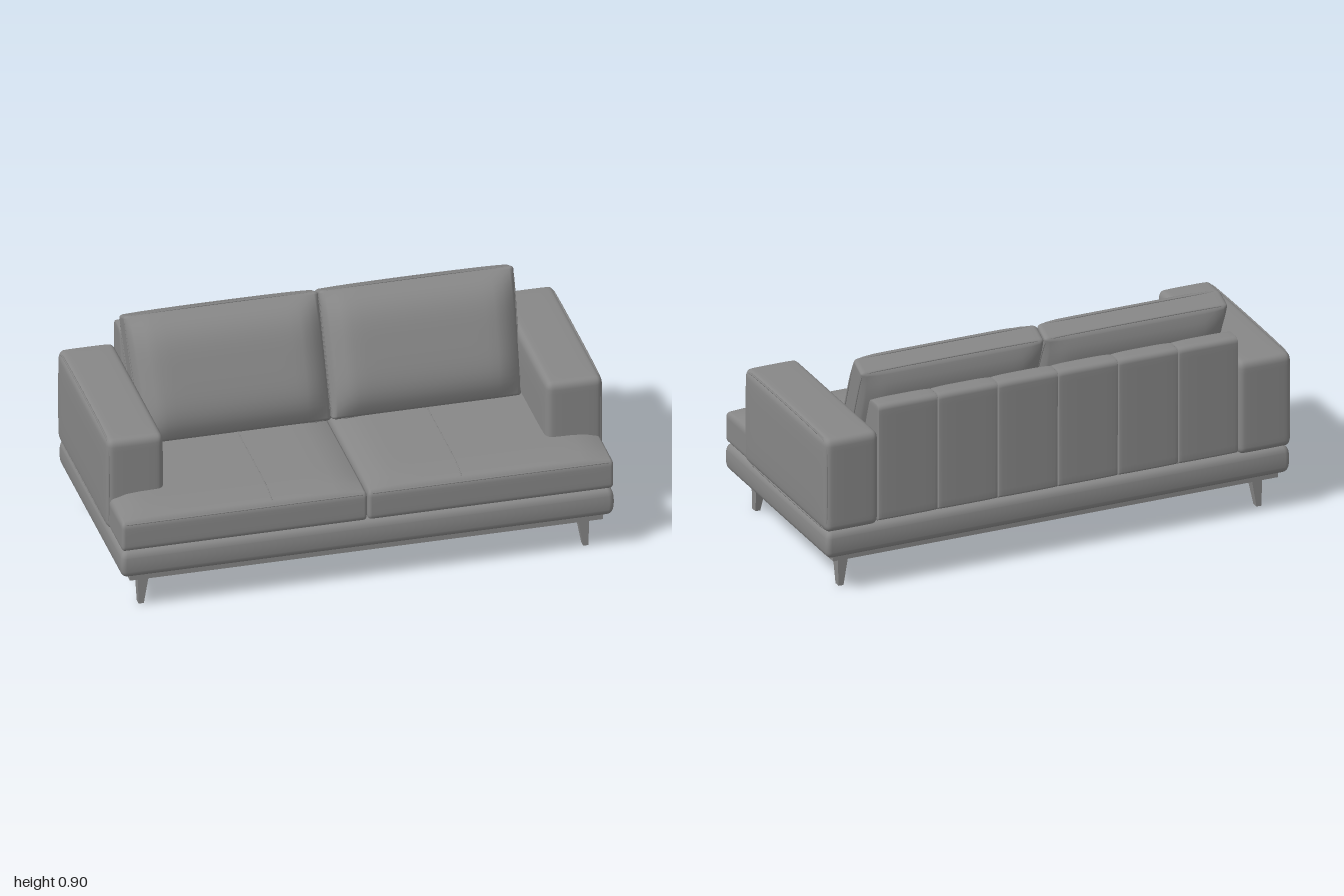
import * as THREE from 'three';
import { mergeVertices } from 'three/addons/utils/BufferGeometryUtils.js';

const material = new THREE.MeshStandardMaterial({ color: 0x878787 });

function addMesh(parent, name, geometry, x = 0, y = 0, z = 0) {
  const mesh = new THREE.Mesh(geometry, material);
  mesh.name = name;
  mesh.position.set(x, y, z);
  parent.add(mesh);
  return mesh;
}

// Upholstered block: elliptical edge radii, dense faces and a deform(p, u, v, w),
// where u, v, w run from -1 to 1 across the block.
function softBox(size, radii, deform) {
  const n = 24, k = 3;
  const geo = new THREE.BoxGeometry(2, 2, 2, n, n, n);
  geo.deleteAttribute('uv');
  geo.deleteAttribute('normal');
  const pos = geo.attributes.position;
  const place = (t, half, r) => {
    const i = Math.round((t + 1) * n / 2);
    if (i <= k) return -half + r * i / k;
    if (i >= n - k) return half - r * (n - i) / k;
    return (half - r) * (2 * (i - k) / (n - 2 * k) - 1);
  };
  for (let i = 0; i < pos.count; i++) {
    const inner = [], offset = [];
    for (let a = 0; a < 3; a++) {
      const half = size[a] / 2, r = radii[a];
      const c = place(pos.getComponent(i, a), half, r);
      inner[a] = THREE.MathUtils.clamp(c, r - half, half - r);
      offset[a] = (c - inner[a]) / r;
    }
    const len = Math.hypot(...offset);
    const p = new THREE.Vector3(...inner.map((c, a) => c + offset[a] / len * radii[a]));
    deform(p, 2 * p.x / size[0], 2 * p.y / size[1], 2 * p.z / size[2]);
    pos.setXYZ(i, p.x, p.y, p.z);
  }
  const merged = mergeVertices(geo, 1e-5);
  merged.computeVertexNormals();
  return merged;
}

// Closed piping around a rounded rectangle in the XY plane
function piping(w, h, r, thickness) {
  const points = [];
  for (let q = 0; q < 4; q++) {
    const cx = (q === 0 || q === 3 ? 1 : -1) * (w / 2 - r);
    const cy = (q < 2 ? 1 : -1) * (h / 2 - r);
    for (let j = 0; j <= 3; j++) {
      const a = (q + j / 3) * Math.PI / 2;
      points.push(new THREE.Vector3(cx + r * Math.cos(a), cy + r * Math.sin(a), 0));
    }
  }
  const curve = new THREE.CatmullRomCurve3(points, true, 'centripetal');
  return new THREE.TubeGeometry(curve, 80, thickness, 6, true);
}

// Padding profiles: 1 in the middle, 0 at the edges
const dome = (a, power = 4) => Math.max(0, 1 - Math.pow(Math.abs(a), power));
const flatDome = (a) => dome(a, 12);

export function createModel() {
  const sofa = new THREE.Group();
  sofa.name = 'sofa';

  // Plinth and padded base
  addMesh(sofa, 'plinth', new THREE.BoxGeometry(1.9, 0.03, 0.9), 0, 0.149, 0.005);
  addMesh(sofa, 'base', softBox([1.966, 0.117, 0.943], [0.022, 0.025, 0.022], (p, u, v, w) => {
    p.x += 0.008 * u * dome(v, 2);
    p.z += 0.008 * w * dome(v, 2);
  }), 0, 0.2145, 0.002);

  // Tapered legs with upright outer faces
  for (const sx of [-1, 1]) for (const sz of [-1, 1]) {
    const leg = new THREE.BoxGeometry(0.048, 0.137, 0.05);
    const pos = leg.attributes.position;
    for (let i = 0; i < pos.count; i++) {
      if (pos.getY(i) > 0) continue;
      pos.setX(i, sx * (pos.getX(i) * sx < 0 ? -0.001 : 0.02));
      if (pos.getZ(i) * sz < 0) pos.setZ(i, sz * -0.004);
    }
    leg.computeVertexNormals();
    addMesh(sofa, 'leg', leg, sx * 0.883, 0.0685, sz > 0 ? 0.384 : -0.368);
  }

  // Arms with a piped outer panel
  for (const s of [-1, 1]) {
    addMesh(sofa, 'arm', softBox([0.224, 0.396, 0.764], [0.022, 0.03, 0.028], (p, u, v, w) => {
      p.x += 0.006 * u * dome(v) * flatDome(w);
      p.z += 0.004 * w * dome(u);
      if (v > 0) p.y += 0.003 * v * dome(u) * flatDome(w);
    }), s * 0.882, 0.469, -0.095);
    const trim = addMesh(sofa, 'armPiping', piping(0.742, 0.378, 0.03, 0.004), s * 0.987, 0.469, -0.095);
    trim.rotation.y = Math.PI / 2;
  }

  // Backrest: six channelled panels, thicker towards the bottom
  const panelWidth = 1.54 / 6;
  for (let i = 0; i < 6; i++) {
    const panel = softBox([panelWidth, 0.5, 0.085], [0.004, 0.022, 0.022], (p, u, v, w) => {
      p.z += (w + 1) / 2 * 0.34 * (0.25 - p.y);
      p.z += 0.003 * w * dome(u);
      if (v > 0) p.y += 0.003 * v * dome(u);
    });
    addMesh(sofa, 'backrestPanel', panel, (i - 2.5) * panelWidth, 0.522, -0.43);
  }

  for (const s of [-1, 1]) {
    // Seat cushion with a crowned top
    const crown = (u, w) => 0.03 * flatDome(u) * dome(w, 8);
    addMesh(sofa, 'seatCushion', softBox([0.985, 0.127, 0.83], [0.014, 0.02, 0.016], (p, u, v, w) => {
      if (v > 0) p.y += v * crown(u, w);
      if (w > 0) p.z += 0.004 * w * dome(v);
    }), s * 0.4945, 0.3385, 0.061);

    // Stitched seams along the middle of the seat and along its front edge
    const path = [];
    for (let j = 0; j <= 16; j++) {
      const w = -0.9 + 1.86 * j / 16;
      path.push(new THREE.Vector3(s * 0.38, 0.4025 + crown(-0.23, w), 0.061 + 0.415 * w));
    }
    addMesh(sofa, 'seatSeam', new THREE.TubeGeometry(new THREE.CatmullRomCurve3(path), 40, 0.002, 6));
    const edge = new THREE.CylinderGeometry(0.003, 0.003, 0.95, 8).rotateZ(Math.PI / 2);
    addMesh(sofa, 'seatFrontSeam', edge, s * 0.4945, 0.394, 0.4745);

    // Leaning back cushion: boxed border with bulging front and back
    const cushion = new THREE.Group();
    cushion.name = 'backCushion';
    cushion.position.set(s * 0.387, 0.644, -0.206);
    cushion.rotation.x = -0.418;
    sofa.add(cushion);
    const flare = (x, v) => (s * x > 0 ? x * 0.03 * v : 0);
    addMesh(cushion, 'cushionBody', softBox([0.77, 0.508, 0.087], [0.02, 0.012, 0.01], (p, u, v, w) => {
      p.z += w * (w > 0 ? 0.08 : 0.07) * flatDome(u) * dome(v);
      p.x += flare(p.x, v);
    }));
    for (const z of [-0.039, 0.039]) {
      const trim = piping(0.762, 0.5, 0.02, 0.003);
      const pos = trim.attributes.position;
      for (let i = 0; i < pos.count; i++) {
        pos.setX(i, pos.getX(i) + flare(pos.getX(i), pos.getY(i) / 0.254));
      }
      addMesh(cushion, 'cushionPiping', trim, 0, 0, z);
    }
    // Cross stitch on the outer border
    addMesh(cushion, 'borderSeam', new THREE.BoxGeometry(0.004, 0.003, 0.075), s * 0.39, 0.165, 0);
  }

  return sofa;
}
